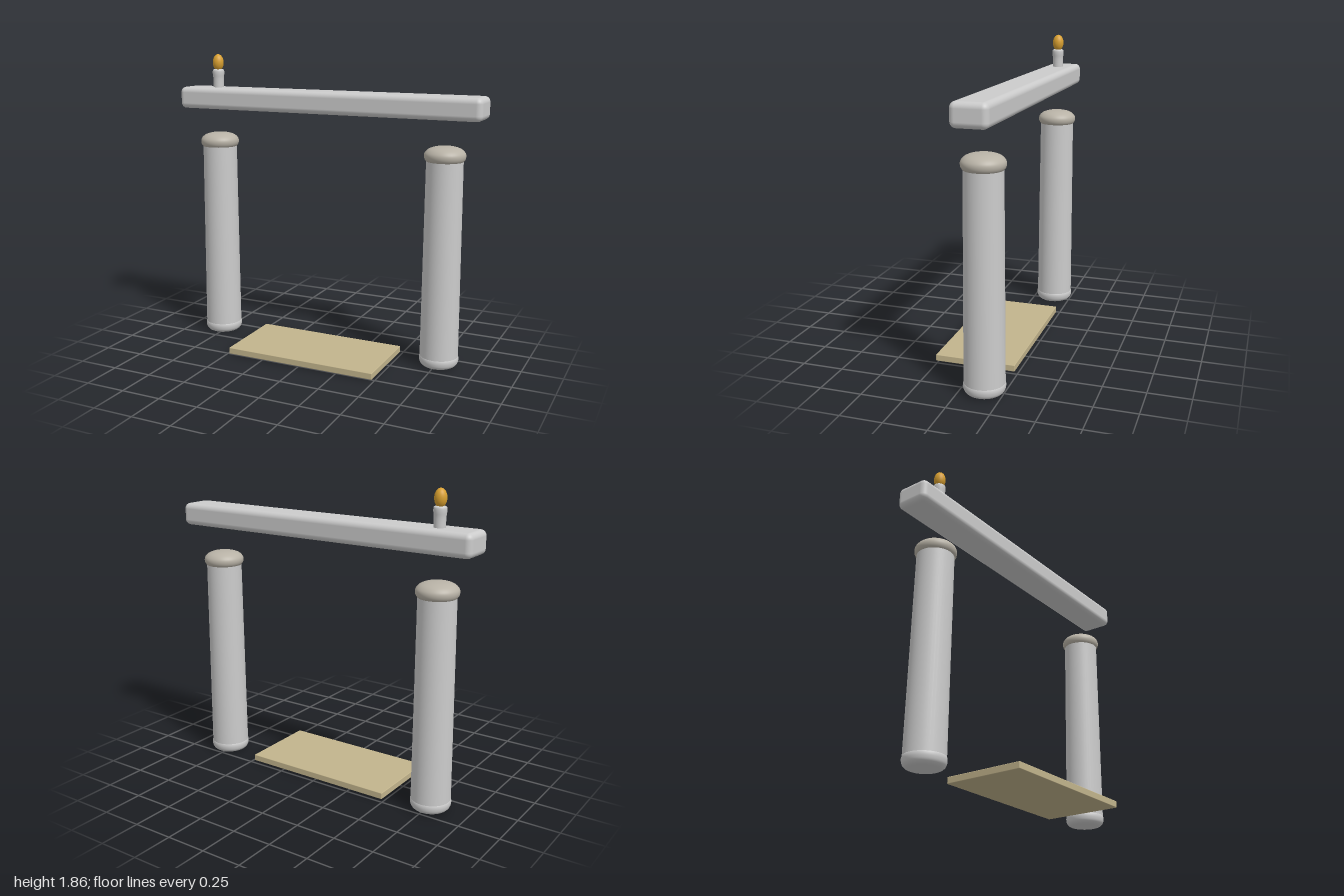
import * as THREE from 'three';
import { RoundedBoxGeometry } from 'three/addons/geometries/RoundedBoxGeometry.js';

const stone = new THREE.MeshStandardMaterial({ color: 0xcccccc });
const capStone = new THREE.MeshStandardMaterial({ color: 0xb8b2a6 });
const wood = new THREE.MeshStandardMaterial({ color: 0xc2b48c });
const gold = new THREE.MeshStandardMaterial({ color: 0xd9a030 });

const AXIS_Z = -0.142;
const COLUMN_X = 0.765;

function add(parent, name, geometry, material, x = 0, y = 0, z = 0) {
  const mesh = new THREE.Mesh(geometry, material);
  mesh.name = name;
  mesh.position.set(x, y, z);
  parent.add(mesh);
  return mesh;
}

// Smooth turned solid: [radius, height] pairs from bottom to top, run through a spline
function turned(profile, samples = 28) {
  const curve = new THREE.SplineCurve(profile.map(([r, y]) => new THREE.Vector2(r, y)));
  const points = curve.getPoints(samples);
  points.forEach((p) => { p.x = Math.max(p.x, 0); });
  return new THREE.LatheGeometry(points, 40);
}

function column(name, x) {
  const group = new THREE.Group();
  group.name = name;
  group.position.set(x, 0, AXIS_Z);
  // Tapered shaft
  add(group, 'shaft', new THREE.CylinderGeometry(0.109, 0.117, 1.24, 40, 1, true), stone, 0, 0.68, 0);
  // Rounded foot
  add(group, 'foot', turned([
    [0, 0.004], [0.06, 0.005], [0.094, 0.009], [0.113, 0.024],
    [0.12, 0.046], [0.119, 0.065], [0.112, 0.08],
  ]), stone);
  // Cushion cap with a domed top
  add(group, 'cap', turned([
    [0, 1.262], [0.06, 1.262], [0.1, 1.265], [0.117, 1.279], [0.123, 1.301],
    [0.117, 1.322], [0.095, 1.342], [0.055, 1.355], [0, 1.36],
  ], 40), capStone);
  return group;
}

export function createModel() {
  const model = new THREE.Group();
  model.name = 'gateway';

  // Pair of columns
  model.add(column('leftColumn', COLUMN_X), column('rightColumn', -COLUMN_X));

  // Floating lintel beam
  add(model, 'beam', new RoundedBoxGeometry(2, 0.136, 0.21, 5, 0.034), stone, 0, 1.583, AXIS_Z);

  // Floor slab
  add(model, 'slab', new RoundedBoxGeometry(0.97, 0.04, 0.492, 2, 0.004), wood, 0, 0.029, 0.017);

  // Candle with a slightly flared, rounded rim
  const candle = new THREE.Group();
  candle.name = 'candle';
  candle.position.set(-COLUMN_X, 0, AXIS_Z);
  model.add(candle);
  add(candle, 'wax', turned([
    [0.033, 1.64], [0.033, 1.68], [0.034, 1.71], [0.037, 1.735],
    [0.037, 1.754], [0.032, 1.763], [0.016, 1.766], [0, 1.766],
  ]), stone);
  add(candle, 'flame', new THREE.SphereGeometry(0.035, 28, 20), gold, 0, 1.808, 0).scale.y = 1.5;

  return model;
}
